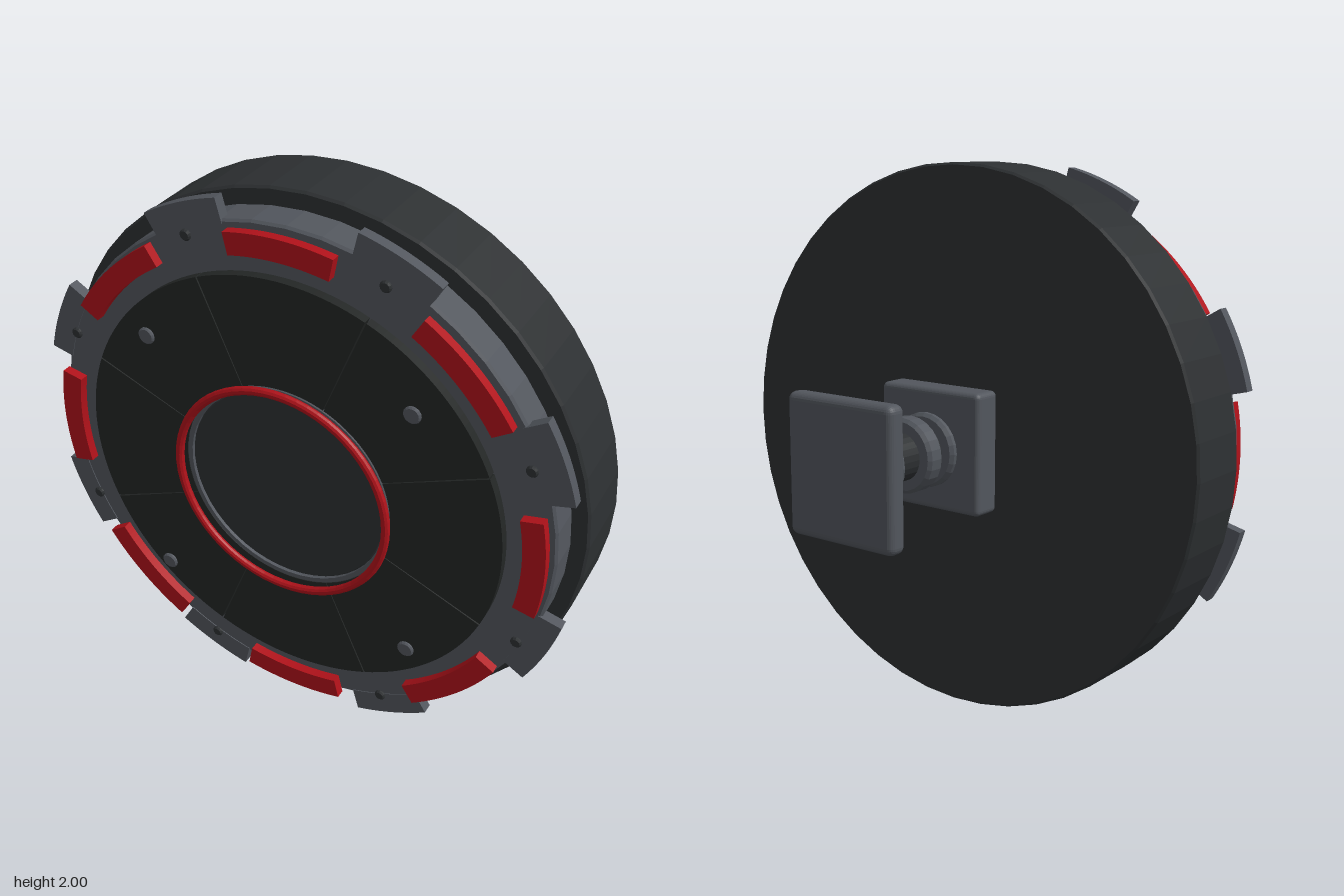
import * as THREE from 'three';
import { RoundedBoxGeometry } from 'three/addons/geometries/RoundedBoxGeometry.js';

const paint = (color) => new THREE.MeshStandardMaterial({ color, flatShading: true });
const DARK = paint(0x2d3032), PANEL = paint(0x232625), STEEL = paint(0x52565d), RED = paint(0xb0121a);
const DEG = Math.PI / 180;

export function createModel() {
  const model = new THREE.Group();
  model.name = 'wallDisc';
  const body = new THREE.Group();
  body.name = 'body';
  body.position.y = 1;
  model.add(body);

  function add(name, geometry, material, x = 0, y = 0, z = 0) {
    const mesh = new THREE.Mesh(geometry, material);
    mesh.name = name;
    mesh.position.set(x, y, z);
    body.add(mesh);
    return mesh;
  }

  // Bevelled disc along z; an inner radius above zero makes it a ring
  function disc(name, material, r, z0, z1, bevel = 0.008, segments = 32, inner = 0, x = 0, y = 0) {
    const profile = [
      [inner, z0], [r - bevel, z0], [r, z0 + bevel],
      [r, z1 - bevel], [r - bevel, z1], [inner, z1],
    ];
    if (inner > 0) profile.push([inner, z0]);
    const points = profile.map(([a, b]) => new THREE.Vector2(a, b));
    const geometry = new THREE.LatheGeometry(points, segments).rotateX(Math.PI / 2);
    return add(name, geometry, material, x, y);
  }

  // Flat plate between two radii, centred on an angle in degrees
  function arcPlate(name, material, r0, r1, angle, half, z0, z1) {
    const a = (angle - half) * DEG, b = (angle + half) * DEG;
    const shape = new THREE.Shape();
    shape.absarc(0, 0, r1, a, b, false);
    shape.absarc(0, 0, r0, b, a, true);
    shape.closePath();
    const geometry = new THREE.ExtrudeGeometry(shape, { depth: z1 - z0, bevelEnabled: false, curveSegments: 10 });
    return add(name, geometry, material, 0, 0, z0);
  }

  // Main housing and the stepped rim in front of it
  disc('housing', DARK, 1, 0.054, 0.324, 0.008, 48);
  disc('rim', STEEL, 0.94, 0.32, 0.447, 0.008, 48);

  // Eight of each: face panel, red light, edge clip and rim screw
  for (let i = 0; i < 8; i++) {
    const angle = i * 45, between = angle + 22.5;
    arcPlate('facePanel', PANEL, 0.39, 0.78, angle, 22.3, 0.47, 0.503);
    arcPlate('redLight', RED, 0.845, 0.922, angle, i % 2 ? 13 : 12, 0.47, 0.503);
    arcPlate('edgeClip', STEEL, 0.925, 1.01, between, 8.4, 0.41, 0.45);
    disc('rimScrew', DARK, 0.02, 0.464, 0.48, 0.005, 12, 0,
      0.91 * Math.cos(between * DEG), 0.91 * Math.sin(between * DEG));
  }

  // Centre cap, its bezel and the glowing ring
  disc('centreCap', DARK, 0.37, 0.455, 0.497, 0.005, 48);
  disc('centreBezel', STEEL, 0.39, 0.455, 0.505, 0.004, 48, 0.37);
  const glow = add('centreRing', new THREE.TorusGeometry(0.395, 0.0155, 10, 64), RED, 0, 0, 0.543);
  glow.scale.z = 0.88;

  // Rivets on the face and bolts on the wall plate
  for (const x of [-1, 1]) {
    for (const y of [-1, 1]) {
      disc('faceRivet', STEEL, 0.03, 0.541, 0.556, 0.005, 16, 0, 0.48 * x, 0.48 * y);
      disc('wallBolt', STEEL, 0.03, -0.482, -0.458, 0.006, 16, 0, 0.17 * x, 0.2 * y);
    }
  }

  // Rear mount: two square plates joined by a collared stem
  add('mountPlate', new RoundedBoxGeometry(0.44, 0.44, 0.115, 3, 0.02), STEEL, 0, 0, -0.026);
  add('wallPlate', new RoundedBoxGeometry(0.465, 0.5, 0.078, 3, 0.028), STEEL, 0, 0, -0.518);
  disc('stem', DARK, 0.087, -0.5, -0.06, 0.005, 24);
  for (const [z0, z1] of [[-0.118, -0.08], [-0.238, -0.165], [-0.434, -0.36]]) {
    disc('stemCollar', STEEL, 0.135, z0, z1, 0.012, 24);
  }
  return model;
}
